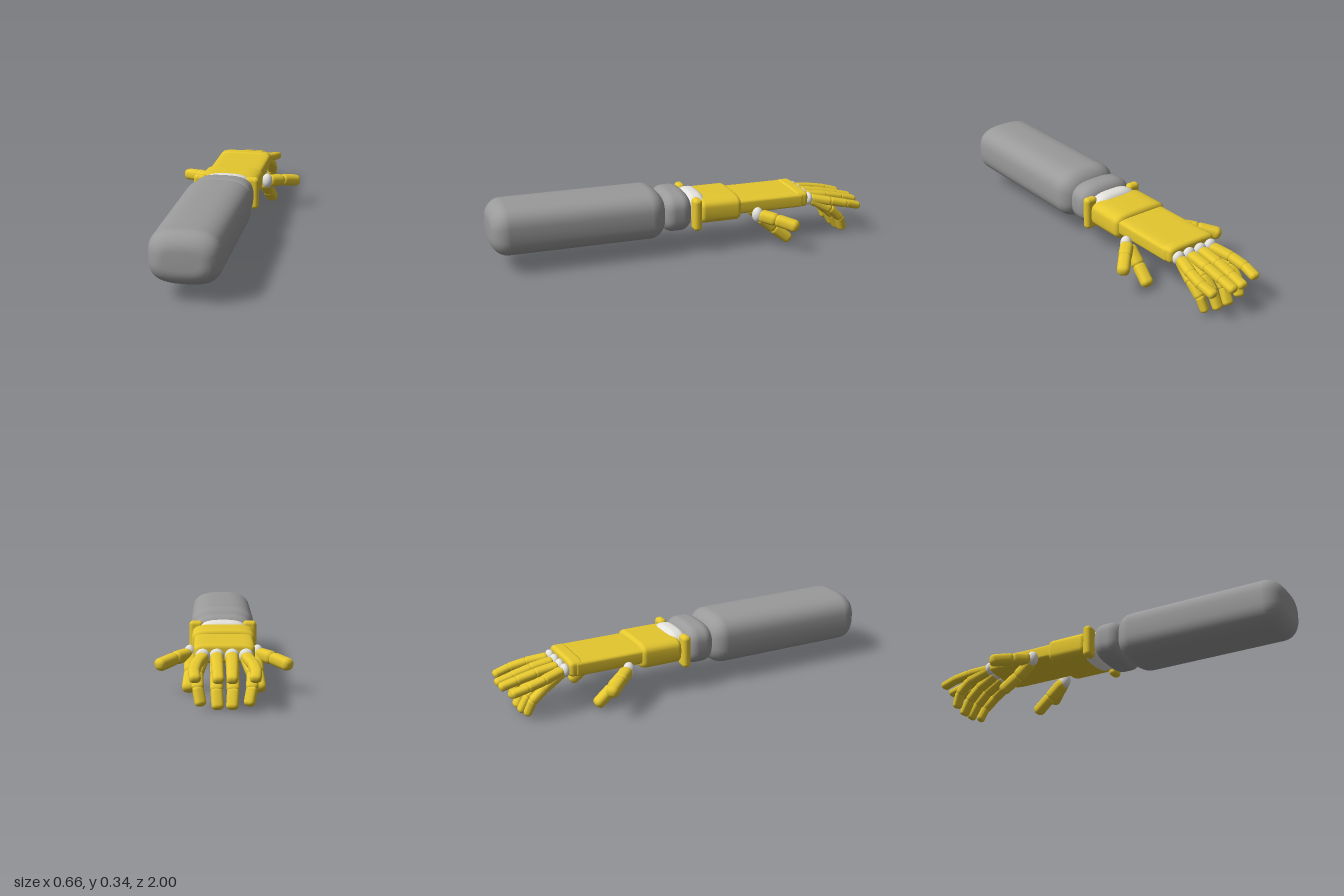
import * as THREE from 'three';
import { RoundedBoxGeometry } from 'three/addons/geometries/RoundedBoxGeometry.js';

const yellow = new THREE.MeshStandardMaterial({ color: 0xe5c72f });
const grey = new THREE.MeshStandardMaterial({ color: 0x9a9a9a });
const white = new THREE.MeshStandardMaterial({ color: 0xe4e2dc });

// Soft block along z: superellipse section (power n), ends rounded by r.
function softBlock(hw, hh, z0, z1, r, n = 3) {
  const rings = [], sides = 40, steps = 7, pos = [], index = [];
  for (let i = 0; i <= steps; i++) {
    const a = (i / steps) * Math.PI / 2;
    rings.push([z0 + r * (1 - Math.sin(a)), r * (1 - Math.cos(a))]);
  }
  // first ring is the end cap edge, last the full section
  const ends = rings.map(([z, inset]) => [z, inset]).reverse();
  const all = ends.map(([z, inset]) => [z, r - (r - inset)]);
  const start = [];
  for (let i = 0; i <= steps; i++) {
    const a = (i / steps) * Math.PI / 2;
    start.push([z0 + r * (1 - Math.cos(a)), r * (1 - Math.sin(a))]);
  }
  all.length = 0;
  all.push(...start, ...start.slice().reverse().map(([z, inset]) => [z0 + z1 - z, inset]));
  for (const [z, inset] of all) {
    for (let s = 0; s < sides; s++) {
      const t = (s / sides) * Math.PI * 2, c = Math.cos(t), k = Math.sin(t);
      pos.push(Math.sign(c) * Math.abs(c) ** (2 / n) * Math.max(hw - inset, 0.001),
        Math.sign(k) * Math.abs(k) ** (2 / n) * Math.max(hh - inset, 0.001), z);
    }
  }
  for (let i = 0; i < all.length - 1; i++) {
    for (let s = 0; s < sides; s++) {
      const a = i * sides + s, b = i * sides + (s + 1) % sides;
      index.push(a, b, b + sides, a, b + sides, a + sides);
    }
  }
  // flat middles of the two ends
  const first = pos.length / 3, last = (all.length - 1) * sides;
  pos.push(0, 0, z0, 0, 0, z1);
  for (let s = 0; s < sides; s++) {
    const t = (s + 1) % sides;
    index.push(first, t, s, first + 1, last + s, last + t);
  }
  const g = new THREE.BufferGeometry();
  g.setAttribute('position', new THREE.Float32BufferAttribute(pos, 3));
  g.setIndex(index);
  g.computeVertexNormals();
  return g;
}

function add(parent, name, geometry, material, x = 0, y = 0, z = 0) {
  const mesh = new THREE.Mesh(geometry, material);
  mesh.name = name;
  mesh.position.set(x, y, z);
  parent.add(mesh);
  return mesh;
}

// Chain of soft segments through the given joints.
function digit(parent, name, joints, hw, hh) {
  const group = new THREE.Group();
  group.name = name;
  for (let i = 0; i < joints.length - 1; i++) {
    const a = new THREE.Vector3(...joints[i]), b = new THREE.Vector3(...joints[i + 1]);
    const over = 0.01, shrink = 1 - i * 0.05;
    const w = hw * shrink, h = hh * shrink;
    const g = softBlock(w, h, -over, a.distanceTo(b) + over, h * 0.85, 2.5);
    add(group, 'segment', g, yellow, ...joints[i]).lookAt(b);
  }
  parent.add(group);
}

export function createModel() {
  const model = new THREE.Group();
  model.name = 'mechanicalArm';

  // Forearm and wrist
  add(model, 'forearm', softBlock(0.17, 0.13, 0.11, 1, 0.085, 2.9), grey, 0, 0.215);
  add(model, 'wristBlock', softBlock(0.155, 0.105, -0.025, 0.125, 0.055, 3), grey, 0, 0.217);
  add(model, 'wristJoint', softBlock(0.128, 0.083, -0.11, -0.01, 0.04, 3), white, 0, 0.22);

  // Palm
  add(model, 'palmBase', softBlock(0.157, 0.068, -0.288, -0.065, 0.025, 4), yellow, 0, 0.217);
  add(model, 'palm', softBlock(0.143, 0.041, -0.64, -0.26, 0.015, 6), yellow, 0, 0.222);
  add(model, 'knuckleBar', softBlock(0.14, 0.045, -0.668, -0.595, 0.02, 5), yellow, 0, 0.224);

  for (const s of [-1, 1]) {
    // Guards either side of the wrist
    add(model, 'wristGuard', new RoundedBoxGeometry(0.07, 0.17, 0.045, 4, 0.02), yellow, s * 0.137, 0.213, -0.045);

    // Knuckles
    for (const x of [0.035, 0.1]) {
      add(model, 'knuckle', new THREE.SphereGeometry(1, 20, 14), white, s * x, 0.217, -0.682)
        .scale.set(0.034, 0.034, 0.024);
    }

    // Extended fingers
    digit(model, 'outerFinger', [[s * 0.1, 0.215, -0.7], [s * 0.128, 0.198, -0.8],
      [s * 0.138, 0.18, -0.885], [s * 0.132, 0.16, -0.96]], 0.029, 0.023);
    digit(model, 'innerFinger', [[s * 0.035, 0.217, -0.7], [s * 0.034, 0.201, -0.81],
      [s * 0.032, 0.18, -0.905], [s * 0.03, 0.16, -0.985]], 0.029, 0.023);

    // Bent fingers
    digit(model, 'outerBentFinger', [[s * 0.1, 0.207, -0.7], [s * 0.125, 0.156, -0.8],
      [s * 0.121, 0.1, -0.86], [s * 0.108, 0.034, -0.885]], 0.029, 0.024);
    digit(model, 'innerBentFinger', [[s * 0.035, 0.207, -0.7], [s * 0.037, 0.15, -0.795],
      [s * 0.037, 0.09, -0.855], [s * 0.032, 0.02, -0.892]], 0.031, 0.024);

    // Thumb joint, spread thumb and lowered thumb
    add(model, 'thumbJoint', new THREE.SphereGeometry(1, 20, 14), white, s * 0.165, 0.182, -0.37)
      .scale.set(0.029, 0.04, 0.03);
    digit(model, 'spreadThumb', [[s * 0.172, 0.178, -0.385], [s * 0.235, 0.168, -0.448],
      [s * 0.31, 0.147, -0.528]], 0.033, 0.032);
    digit(model, 'loweredThumb', [[s * 0.158, 0.165, -0.385], [s * 0.16, 0.1, -0.46],
      [s * 0.17, 0.035, -0.545]], 0.033, 0.03);
  }
  return model;
}
